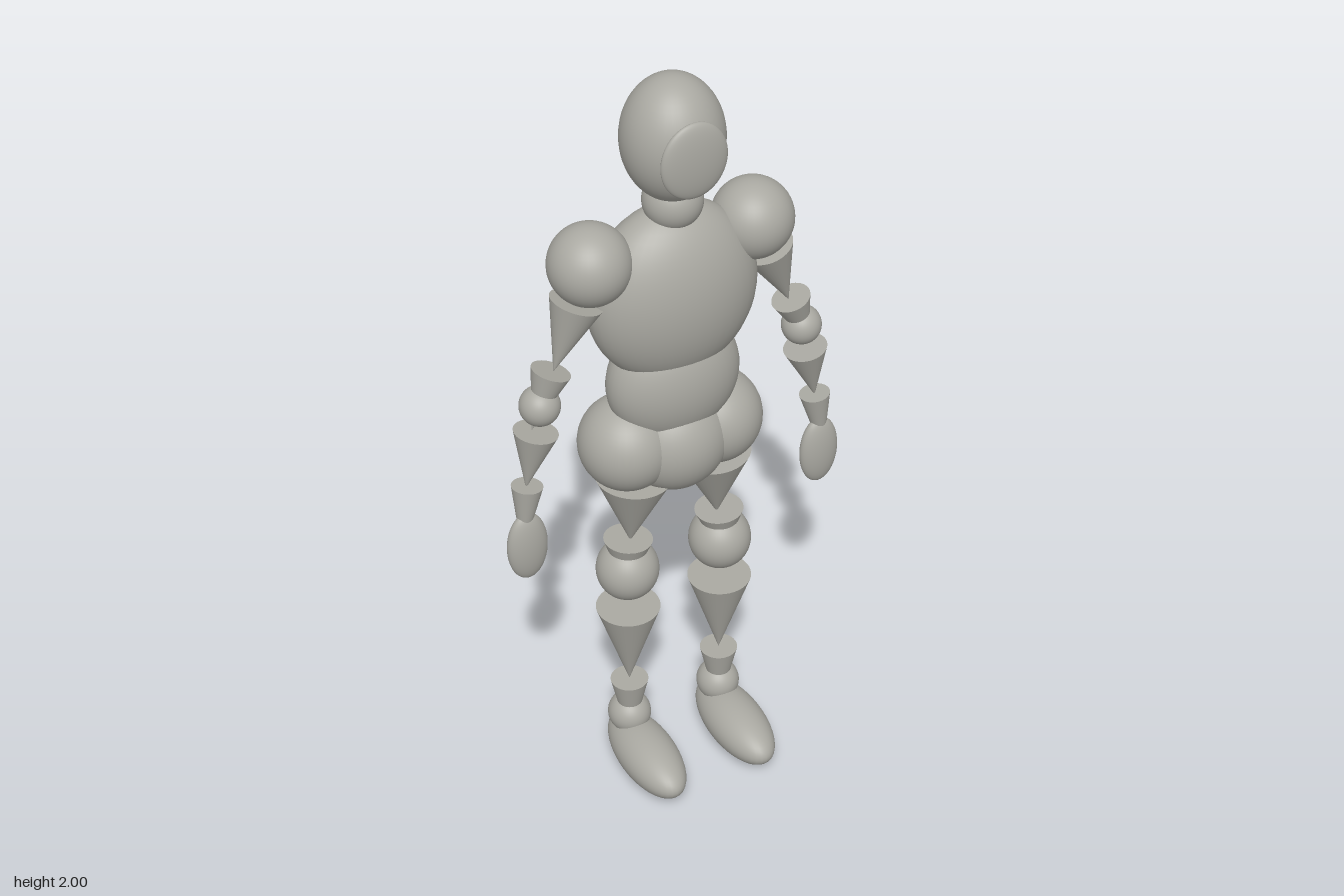
import * as THREE from 'three';

const Z = -0.063; // depth of the body's centre line

export function createModel() {
  const model = new THREE.Group();
  model.name = 'jointedFigure';
  const clay = new THREE.MeshStandardMaterial({ color: 0xaaa9a2 });
  clay.name = 'warmGrey';
  const ball = new THREE.SphereGeometry(1, 40, 28);

  // Ellipsoid given by centre and three radii
  function blob(parent, name, center, radii) {
    const m = new THREE.Mesh(ball, clay);
    m.name = name;
    m.position.set(...center);
    m.scale.set(...radii);
    parent.add(m);
  }

  // Cone with its wide disc at `base`, pointing down to `tip`
  function spike(parent, name, base, tip, r) {
    const a = new THREE.Vector3(...base), b = new THREE.Vector3(...tip);
    const dir = b.clone().sub(a);
    const m = new THREE.Mesh(new THREE.ConeGeometry(r, dir.length(), 40), clay);
    m.name = name;
    m.position.copy(a).add(b).multiplyScalar(0.5);
    m.quaternion.setFromUnitVectors(new THREE.Vector3(0, 1, 0), dir.normalize());
    parent.add(m);
  }

  // Head and trunk
  blob(model, 'head', [0, 1.845, Z], [0.122, 0.155, 0.122]);
  blob(model, 'face', [0, 1.837, 0.041], [0.084, 0.097, 0.022]);
  blob(model, 'neck', [0, 1.68, Z], [0.072, 0.072, 0.072]);
  blob(model, 'chest', [0, 1.43, -0.069], [0.217, 0.235, 0.132]);
  blob(model, 'belly', [0, 1.185, -0.066], [0.172, 0.17, 0.111]);
  blob(model, 'pelvis', [0, 1.005, -0.062], [0.14, 0.14, 0.126]);

  for (const s of [1, -1]) {
    const side = s > 0 ? 'left' : 'right';

    // Arm
    const arm = new THREE.Group();
    arm.name = side + 'Arm';
    blob(arm, 'shoulder', [s * 0.212, 1.565, -0.067], [0.1, 0.1, 0.1]);
    spike(arm, 'upperArm', [s * 0.25, 1.475, Z], [s * 0.314, 1.3, Z], 0.065);
    spike(arm, 'elbowCone', [s * 0.32, 1.303, Z], [s * 0.376, 1.15, Z], 0.049);
    blob(arm, 'elbow', [s * 0.352, 1.215, Z], [0.05, 0.05, 0.05]);
    spike(arm, 'forearm', [s * 0.365, 1.142, Z], [s * 0.397, 0.985, Z], 0.055);
    spike(arm, 'wristCone', [s * 0.395, 0.993, -0.06], [s * 0.42, 0.8, -0.05], 0.039);
    blob(arm, 'hand', [s * 0.406, 0.82, -0.05], [0.053, 0.099, 0.027]);
    model.add(arm);

    // Leg
    const leg = new THREE.Group();
    leg.name = side + 'Leg';
    blob(leg, 'hip', [s * 0.12, 1.015, -0.079], [0.12, 0.122, 0.122]);
    spike(leg, 'thigh', [s * 0.11, 0.915, Z], [s * 0.122, 0.715, Z], 0.095);
    spike(leg, 'kneeCone', [s * 0.128, 0.724, Z], [s * 0.138, 0.56, Z], 0.062);
    blob(leg, 'knee', [s * 0.131, 0.63, Z], [0.08, 0.083, 0.08]);
    spike(leg, 'shin', [s * 0.131, 0.505, Z], [s * 0.131, 0.255, Z], 0.082);
    spike(leg, 'ankleCone', [s * 0.131, 0.255, Z], [s * 0.131, 0.03, Z], 0.049);
    blob(leg, 'ankle', [s * 0.131, 0.137, -0.066], [0.056, 0.056, 0.058]);
    blob(leg, 'foot', [s * 0.131, 0.067, 0.031], [0.075, 0.067, 0.17]);
    model.add(leg);
  }
  return model;
}
